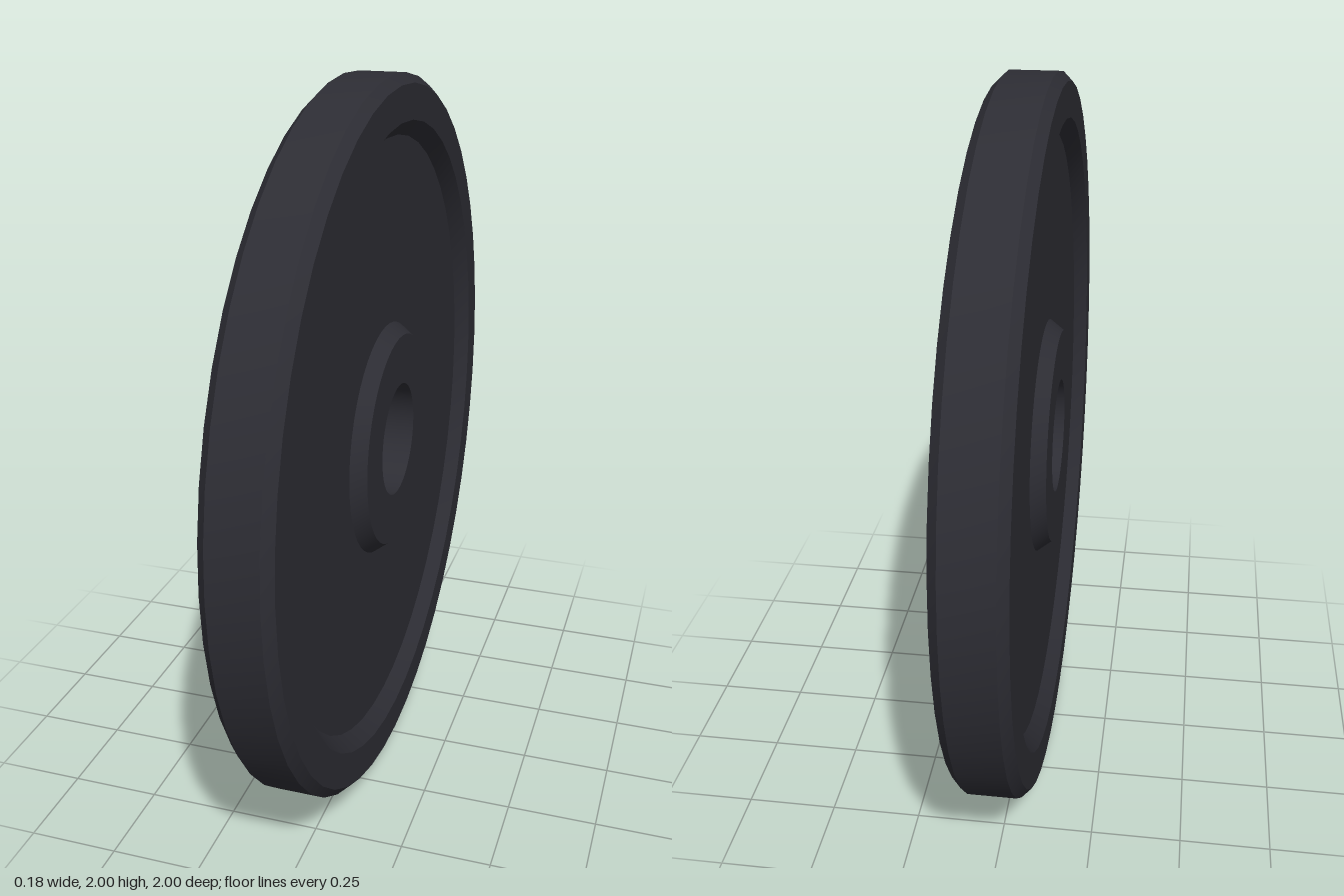
import * as THREE from 'three';
import { toCreasedNormals } from 'three/addons/utils/BufferGeometryUtils.js';

const SEGMENTS = 48;

// Spins a profile of [radius, x] pairs around the x axis, keeping bevel edges crisp.
function spin(name, profile, material) {
  const points = profile.map(([r, x]) => new THREE.Vector2(r, x));
  let geometry = new THREE.LatheGeometry(points, SEGMENTS);
  geometry = toCreasedNormals(geometry, 0.5);
  geometry.rotateZ(-Math.PI / 2);
  const mesh = new THREE.Mesh(geometry, material);
  mesh.name = name;
  return mesh;
}

export function createModel() {
  const rubber = new THREE.MeshStandardMaterial({ color: 0x2d2d34 });
  rubber.name = 'dark rubber';

  const half = 0.09;  // half thickness of rim and hub
  const web = 0.05;   // half thickness of the recessed disc

  // One side of each part, from the outside inwards
  const rimSide = [[1, half - 0.025], [0.975, half], [0.88, half], [0.84, web]];
  const webSide = [[0.84, web], [0.33, web]];
  const hubSide = [[0.33, web], [0.3, half], [0.16, half]];
  const mirrored = (side) => side.map(([r, x]) => [r, -x]).reverse();

  const plate = new THREE.Group();
  plate.name = 'weightPlate';
  plate.add(
    spin('rim', [...mirrored(rimSide), ...rimSide], rubber),
    spin('discLeft', webSide, rubber),
    spin('discRight', mirrored(webSide), rubber),
    spin('hubLeft', hubSide, rubber),
    spin('hubRight', mirrored(hubSide), rubber),
    spin('bore', [[0.16, half], [0.16, -half]], rubber),
  );
  plate.position.y = 1;

  const model = new THREE.Group();
  model.add(plate);
  return model;
}
